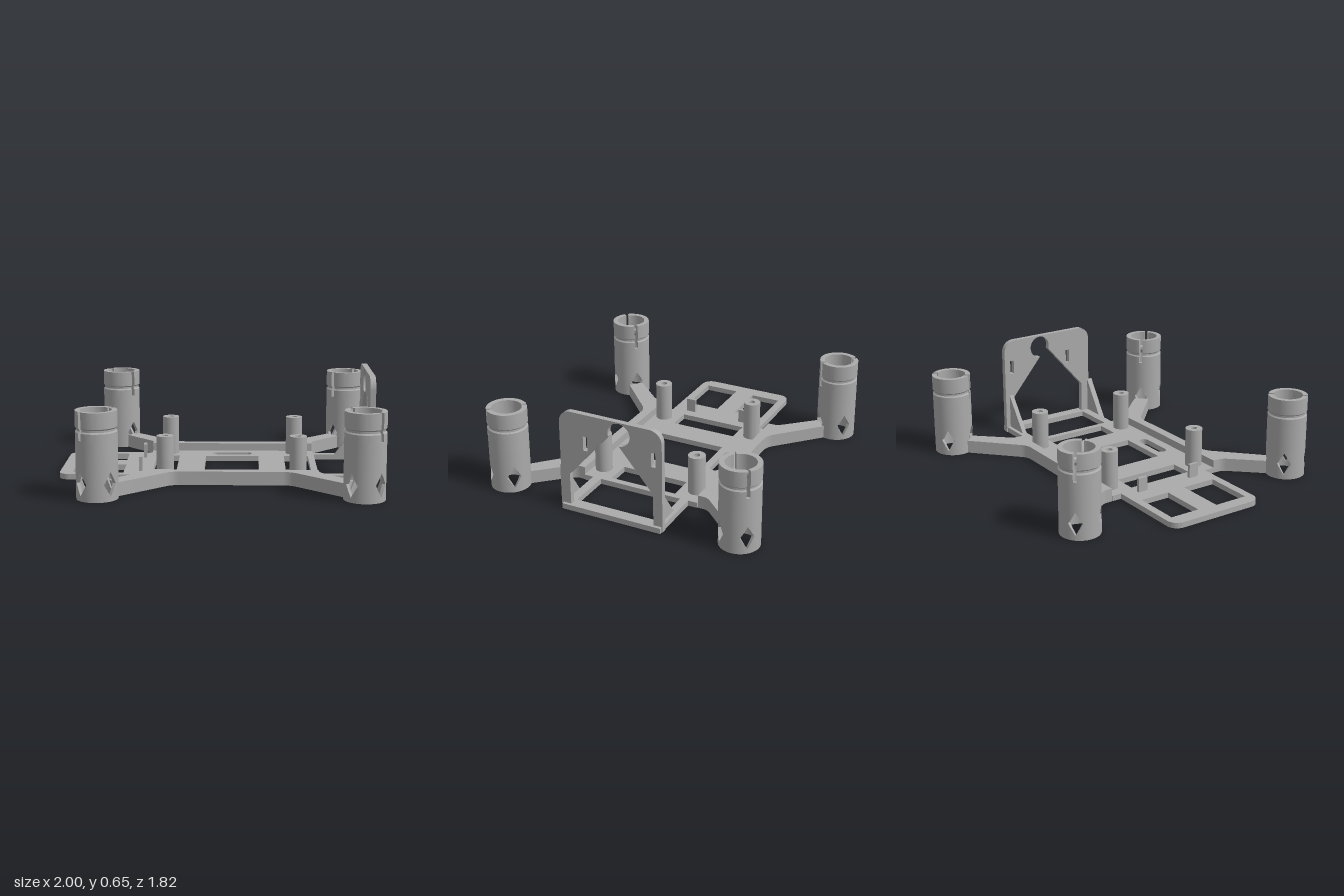
import * as THREE from 'three';
import { mergeGeometries, toCreasedNormals } from 'three/addons/utils/BufferGeometryUtils.js';

const ZC = -0.003, XC = 0.085; // symmetry centre of the arms
const PLATE = 0.035, RAIL = 0.085;

const extrude = (shape, depth) =>
  toCreasedNormals(new THREE.ExtrudeGeometry(shape, { depth, bevelEnabled: false, curveSegments: 16 }), 0.5);

// Horizontal slab: shape y becomes z, thickness runs from y0 to y1
function slab(shape, y0, y1) {
  return extrude(shape, y1 - y0).rotateX(Math.PI / 2).translate(0, y1, 0);
}

function rectPath(x0, x1, y0, y1) {
  return new THREE.Path().setFromPoints(
    [[x0, y0], [x1, y0], [x1, y1], [x0, y1]].map(([x, y]) => new THREE.Vector2(x, y)));
}

function circlePath(x, y, r) {
  return new THREE.Path().absarc(x, y, r, 0, Math.PI * 2, false);
}

function stadiumPath(x0, x1, y0, y1) {
  const r = (y1 - y0) / 2, y = (y0 + y1) / 2;
  return new THREE.Path()
    .absarc(x1 - r, y, r, -Math.PI / 2, Math.PI / 2, false)
    .absarc(x0 + r, y, r, Math.PI / 2, Math.PI * 1.5, false);
}

// Sweep a closed (radius, y) section around the y axis through the given angles
function sweep(angles, section, capped = false) {
  const pos = [];
  const at = ([r, y], a) => [r * Math.cos(a), y, r * Math.sin(a)];
  for (let i = 0; i + 1 < angles.length; i++) {
    const a0 = angles[i], a1 = angles[i + 1], p = section(a0), q = section(a1);
    p.forEach((_, j) => {
      const k = (j + 1) % p.length;
      const a = at(p[j], a0), b = at(p[k], a0), c = at(q[k], a1), d = at(q[j], a1);
      pos.push(...a, ...b, ...c, ...a, ...c, ...d);
    });
  }
  if (capped) {
    const first = angles[0], last = angles[angles.length - 1];
    const pts = section(first).map(([r, y]) => new THREE.Vector2(r, y));
    for (const [i, j, k] of THREE.ShapeUtils.triangulateShape(pts, [])) {
      const s = section(first);
      pos.push(...at(s[i], first), ...at(s[k], first), ...at(s[j], first));
      pos.push(...at(s[i], last), ...at(s[j], last), ...at(s[k], last));
    }
  }
  const g = new THREE.BufferGeometry();
  g.setAttribute('position', new THREE.Float32BufferAttribute(pos, 3));
  return g;
}

const range = (a, b, n) => Array.from({ length: n + 1 }, (_, i) => a + (b - a) * i / n);

// Hollow motor tower: diamond holes low down, grooved and split collar on top
function towerGeometry() {
  const rOut = 0.125, rIn = 0.105, split = 0.36, yc = 0.103, half = 0.073, w = 0.36;
  const parts = [];
  const q = Math.PI / 4;
  const offsets = [...range(-q, -w, 4), ...range(-w, w, 8).slice(1), ...range(w, q, 4).slice(1)];
  const wall = (y0, y1) => [[rIn, y0], [rOut, y0], [rOut, y1], [rIn, y1]];
  for (let i = 0; i < 4; i++) {
    const centre = q + i * Math.PI / 2;
    const angles = offsets.map(o => centre + o);
    const gap = a => half * Math.max(0, 1 - Math.abs(a - centre) / w);
    parts.push(sweep(angles, a => wall(0, yc - gap(a))));
    parts.push(sweep(angles, a => wall(yc + gap(a), split)));
  }
  const collar = [[rIn, split], [rOut, split], [rOut, 0.405], [0.117, 0.413], [0.117, 0.425], [rOut, 0.433],
    [rOut, 0.53], [0.093, 0.53], [0.093, 0.43], [0.077, 0.42], [0.077, 0.4], [rIn, 0.37]];
  const slot = 0.09;
  for (const start of [q, q + Math.PI])
    parts.push(sweep(range(start + slot, start + Math.PI - slot, 32), () => collar, true));
  return toCreasedNormals(mergeGeometries(parts), 0.5);
}

export function createModel() {
  const model = new THREE.Group();
  model.name = 'quadFrame';
  const grey = new THREE.MeshStandardMaterial({ color: 0xaaaaaa });
  grey.name = 'grey plastic';
  const add = (name, geometry) => {
    const mesh = new THREE.Mesh(geometry, grey);
    mesh.name = name;
    model.add(mesh);
    return mesh;
  };

  // Base plate with tail wing, end frame and cut-outs
  const base = new THREE.Shape();
  base.moveTo(-0.455, -0.395);
  base.lineTo(0.63, -0.395);
  base.lineTo(0.63, -0.335);
  base.lineTo(0.995, -0.335);
  base.lineTo(0.995, 0.33);
  base.lineTo(0.63, 0.33);
  base.lineTo(0.63, 0.392);
  base.lineTo(-0.455, 0.392);
  base.lineTo(-0.455, 0.322);
  base.lineTo(-0.93, 0.322);
  base.absarc(-0.93, 0.252, 0.07, Math.PI / 2, Math.PI, false);
  base.absarc(-0.93, -0.26, 0.07, Math.PI, Math.PI * 1.5, false);
  base.lineTo(-0.455, -0.33);
  const windows = [
    [-0.907, -0.605, -0.28, -0.083], [-0.917, -0.597, 0.047, 0.27],
    [-0.415, -0.265, -0.225, 0.217], [-0.09, 0.26, -0.225, 0.217],
    [0.43, 0.59, -0.225, 0.217], [0.632, 0.918, -0.28, 0.273]];
  for (const box of windows) base.holes.push(rectPath(...box));
  base.holes.push(stadiumPath(-0.045, 0.217, -0.335, -0.275), stadiumPath(-0.045, 0.217, 0.265, 0.33));

  // Screw posts standing on the plate
  for (const x of [-0.328, 0.5]) for (const z of [-0.33, 0.324]) {
    base.holes.push(circlePath(x, z, 0.02));
    const ring = new THREE.Shape().absarc(x, z, 0.054, 0, Math.PI * 2, false);
    ring.holes.push(circlePath(x, z, 0.02));
    add('screwPost', slab(ring, PLATE, 0.285));
  }
  add('basePlate', slab(base, 0, PLATE));

  // Raised side rails, each with two arms
  for (const side of [-1, 1]) {
    const rail = new THREE.Shape();
    const Z = z => ZC + side * z;
    rail.moveTo(XC - 0.54, Z(0.395));
    rail.lineTo(XC + 0.54, Z(0.395));
    rail.lineTo(XC + 0.54, Z(0.43));
    rail.quadraticCurveTo(XC + 0.54, Z(0.46), XC + 0.565, Z(0.487));
    rail.lineTo(XC + 0.735, Z(0.67));
    rail.lineTo(XC + 0.67, Z(0.745));
    rail.lineTo(XC + 0.4, Z(0.49));
    rail.quadraticCurveTo(XC + 0.365, Z(0.457), XC + 0.32, Z(0.457));
    rail.lineTo(XC - 0.32, Z(0.457));
    rail.quadraticCurveTo(XC - 0.365, Z(0.457), XC - 0.4, Z(0.49));
    rail.lineTo(XC - 0.67, Z(0.745));
    rail.lineTo(XC - 0.735, Z(0.67));
    rail.lineTo(XC - 0.565, Z(0.487));
    rail.quadraticCurveTo(XC - 0.54, Z(0.46), XC - 0.54, Z(0.43));
    add('sideRailWithArms', slab(rail, 0, RAIL));
  }

  // Motor towers, with the collar slots in line with the arms
  const tower = towerGeometry();
  for (const sx of [-1, 1]) for (const sz of [-1, 1]) {
    const mesh = add('motorTower', tower);
    mesh.position.set(XC + sx * 0.787, 0, ZC + sz * 0.783);
    mesh.rotation.y = sx * sz > 0 ? 0 : Math.PI / 2;
  }

  // Small clips beside the tail wing
  for (const z of [-0.197, 0.195])
    add('clip', new THREE.BoxGeometry(0.02, 0.09, 0.065).translate(-0.491, 0.08, z));

  // Upright end plate: angled opening running into a lens hole
  const plate = new THREE.Shape();
  plate.moveTo(-0.34, 0);
  plate.lineTo(-0.34, 0.575);
  plate.absarc(-0.26, 0.575, 0.08, Math.PI, Math.PI / 2, true);
  plate.absarc(0.26, 0.575, 0.08, Math.PI / 2, 0, true);
  plate.lineTo(0.34, 0);
  plate.lineTo(0.28, 0);
  plate.lineTo(0.28, 0.24);
  plate.absarc(0.06, 0.575, 0.073, -Math.PI / 2, Math.PI + 0.34, false);
  plate.lineTo(-0.28, 0.24);
  plate.lineTo(-0.28, 0);
  plate.holes.push(rectPath(-0.18, -0.152, 0.42, 0.512), rectPath(0.27, 0.298, 0.42, 0.512));
  add('cameraPlate', extrude(plate, 0.035).rotateY(Math.PI / 2).translate(0.94, 0, 0));

  // Triangular braces for the end plate
  for (const [z, depth, y] of [[0.33, 0.037, 0], [-0.31, 0.03, 0.03]]) {
    const brace = new THREE.Shape();
    brace.moveTo(0.77, y);
    brace.lineTo(0.942, y);
    brace.lineTo(0.942, 0.265);
    add('plateBrace', extrude(brace, depth).translate(0, 0, z));
  }
  return model;
}
